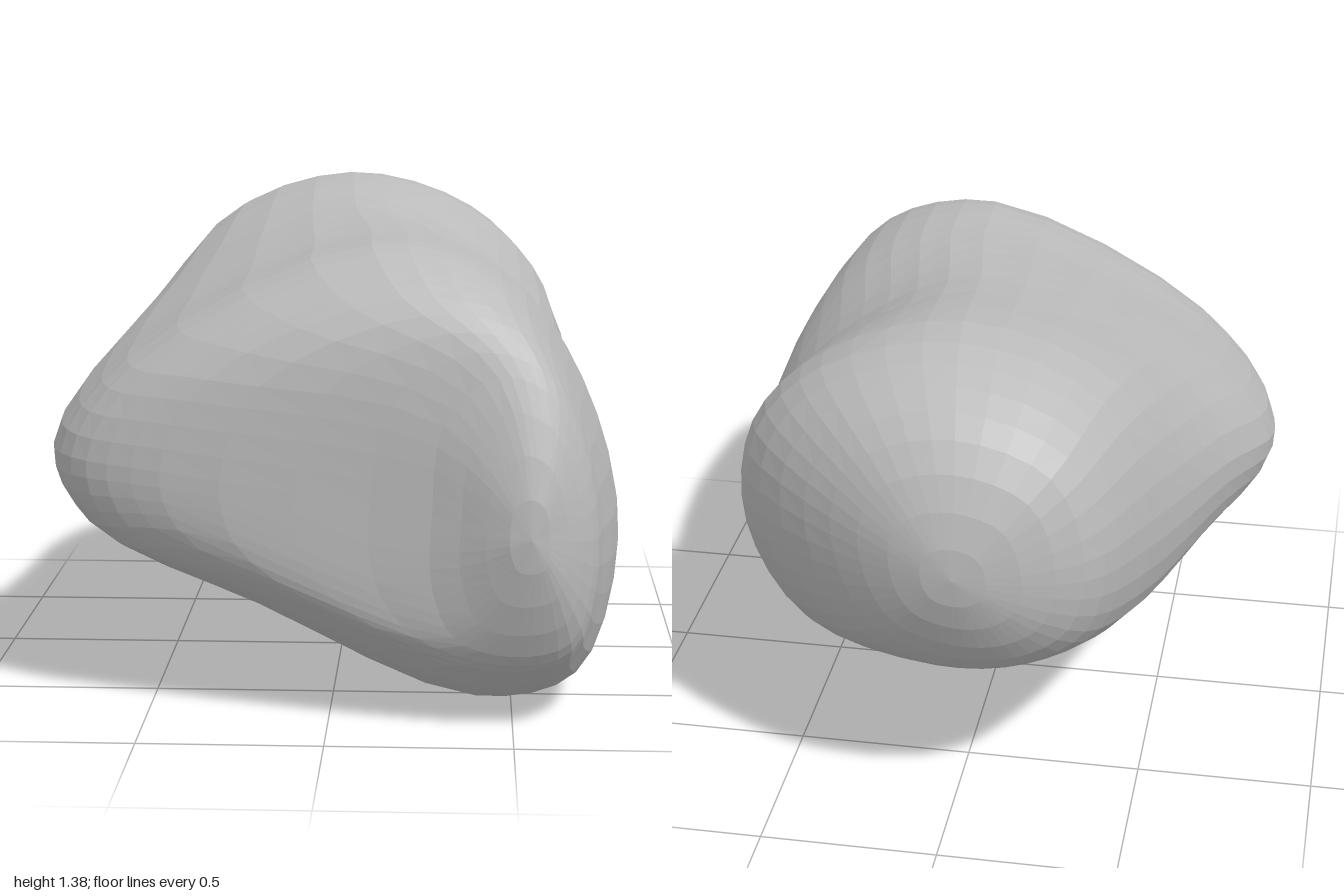
import * as THREE from 'three';

const COLS = 40; // facets around each ring
const STEPS = 4; // facet rows between neighbouring rings

// Outline rings from front to back: depth z, then ten x,y points running
// left tip, underside, right flank, top and back to the left shoulder.
const RINGS = [
  { z: 0.9, p: [0.28, 0.6, 0.28, 0.41, 0.34, 0.27, 0.49, 0.22, 0.65, 0.26, 0.705, 0.47, 0.67, 0.76, 0.58, 0.93, 0.45, 0.97, 0.31, 0.84] },
  { z: 0.8, p: [-0.45, 0.69, -0.4, 0.53, -0.08, 0.33, 0.4, 0.13, 0.65, 0.17, 0.735, 0.45, 0.665, 0.86, 0.49, 1.11, 0.2, 1.16, -0.32, 0.94] },
  { z: 0.66, p: [-0.71, 0.7, -0.64, 0.51, -0.2, 0.295, 0.4, 0.04, 0.675, 0.11, 0.77, 0.44, 0.68, 0.87, 0.46, 1.18, 0.12, 1.265, -0.54, 0.95] },
  { z: 0.35, p: [-0.8, 0.7, -0.7, 0.5, -0.2, 0.27, 0.4, 0, 0.685, 0.1, 0.8, 0.45, 0.695, 0.88, 0.46, 1.19, 0.1, 1.29, -0.55, 1.01] },
  { z: -0.05, p: [-0.69, 0.79, -0.62, 0.54, -0.2, 0.33, 0.3, 0.125, 0.59, 0.22, 0.735, 0.55, 0.65, 0.89, 0.39, 1.17, 0.04, 1.32, -0.48, 1.12] },
  { z: -0.6, p: [-0.52, 0.88, -0.46, 0.58, -0.2, 0.42, 0.12, 0.37, 0.43, 0.47, 0.59, 0.75, 0.57, 1.06, 0.38, 1.27, 0, 1.375, -0.39, 1.23] },
  { z: -0.88, p: [-0.38, 0.9, -0.34, 0.69, -0.2, 0.59, -0.02, 0.57, 0.18, 0.64, 0.28, 0.82, 0.29, 1.02, 0.19, 1.17, -0.04, 1.23, -0.29, 1.14] },
];
const FRONT = new THREE.Vector3(0.54, 0.56, 1);
const BACK = new THREE.Vector3(-0.05, 0.88, -1);

// Smooth closed ring resampled to COLS points
function sampleRing({ z, p }) {
  const points = [];
  for (let i = 0; i < p.length; i += 2) points.push(new THREE.Vector3(p[i], p[i + 1], z));
  const curve = new THREE.CatmullRomCurve3(points, true);
  return Array.from({ length: COLS }, (_, c) => curve.getPoint(c / COLS));
}

// Skin the rings lengthwise; each line continues past both ends so the ends are round
function boulderGeometry() {
  const rings = RINGS.map(sampleRing);
  const last = rings.length - 1;
  const rows = (rings.length + 1) * STEPS;
  const spans = rings.length + 3;
  const positions = [];
  const index = [];

  for (let c = 0; c < COLS; c++) {
    const opposite = (c + COLS / 2) % COLS;
    const line = new THREE.CatmullRomCurve3([
      rings[0][opposite], FRONT, ...rings.map((ring) => ring[c]), BACK, rings[last][opposite],
    ]);
    for (let r = 0; r <= rows; r++) {
      positions.push(...line.getPoint((1 + r / STEPS) / spans).toArray());
    }
  }

  const at = (r, c) => (c % COLS) * (rows + 1) + r;
  for (let c = 0; c < COLS; c++) {
    for (let r = 0; r < rows; r++) {
      if (r > 0) index.push(at(r, c), at(r + 1, c), at(r, c + 1));
      if (r < rows - 1) index.push(at(r + 1, c), at(r + 1, c + 1), at(r, c + 1));
    }
  }

  const geometry = new THREE.BufferGeometry();
  geometry.setAttribute('position', new THREE.Float32BufferAttribute(positions, 3));
  geometry.setIndex(index);
  const faceted = geometry.toNonIndexed();
  faceted.computeVertexNormals();
  return faceted;
}

export function createModel() {
  const stone = new THREE.MeshStandardMaterial({ color: 0xbbbbbb });
  stone.name = 'stone grey';
  stone.flatShading = true;

  const boulder = new THREE.Mesh(boulderGeometry(), stone);
  boulder.name = 'boulder';

  const model = new THREE.Group();
  model.name = 'rock';
  model.add(boulder);
  return model;
}
